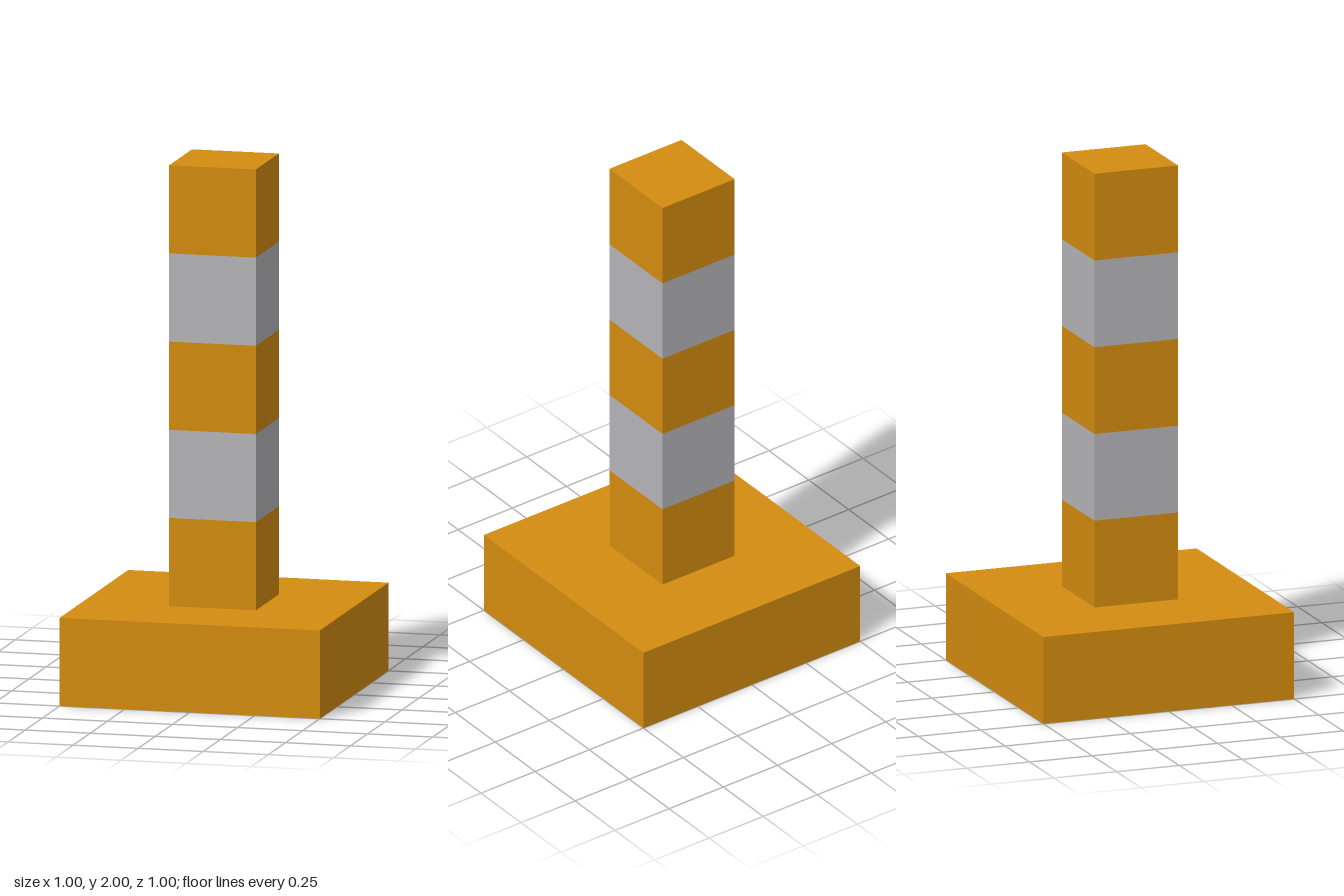
import * as THREE from 'three';

const UNIT = 1 / 3; // band height and post width

export function createModel() {
  const group = new THREE.Group();
  const orange = new THREE.MeshStandardMaterial({ color: 0xd48c10 });
  orange.name = 'orange';
  const grey = new THREE.MeshStandardMaterial({ color: 0xb5b5b9 });
  grey.name = 'lightGrey';

  const add = (name, geometry, material, y) => {
    const mesh = new THREE.Mesh(geometry, material);
    mesh.name = name;
    mesh.position.y = y;
    group.add(mesh);
  };

  // Square base slab
  add('base', new THREE.BoxGeometry(1, UNIT, 1), orange, UNIT / 2);

  // Square post: open four-sided sleeves in alternating colours
  const radius = UNIT / Math.SQRT2;
  const sleeve = new THREE.CylinderGeometry(radius, radius, UNIT, 4, 1, true)
    .rotateY(Math.PI / 4)
    .toNonIndexed();
  sleeve.computeVertexNormals();
  for (let i = 0; i < 5; i++) {
    add(`postBand${i + 1}`, sleeve, i % 2 ? grey : orange, UNIT * (i + 1.5));
  }

  // Flat top of the post
  add('postTop', new THREE.PlaneGeometry(UNIT, UNIT).rotateX(-Math.PI / 2), orange, 2);

  return group;
}
